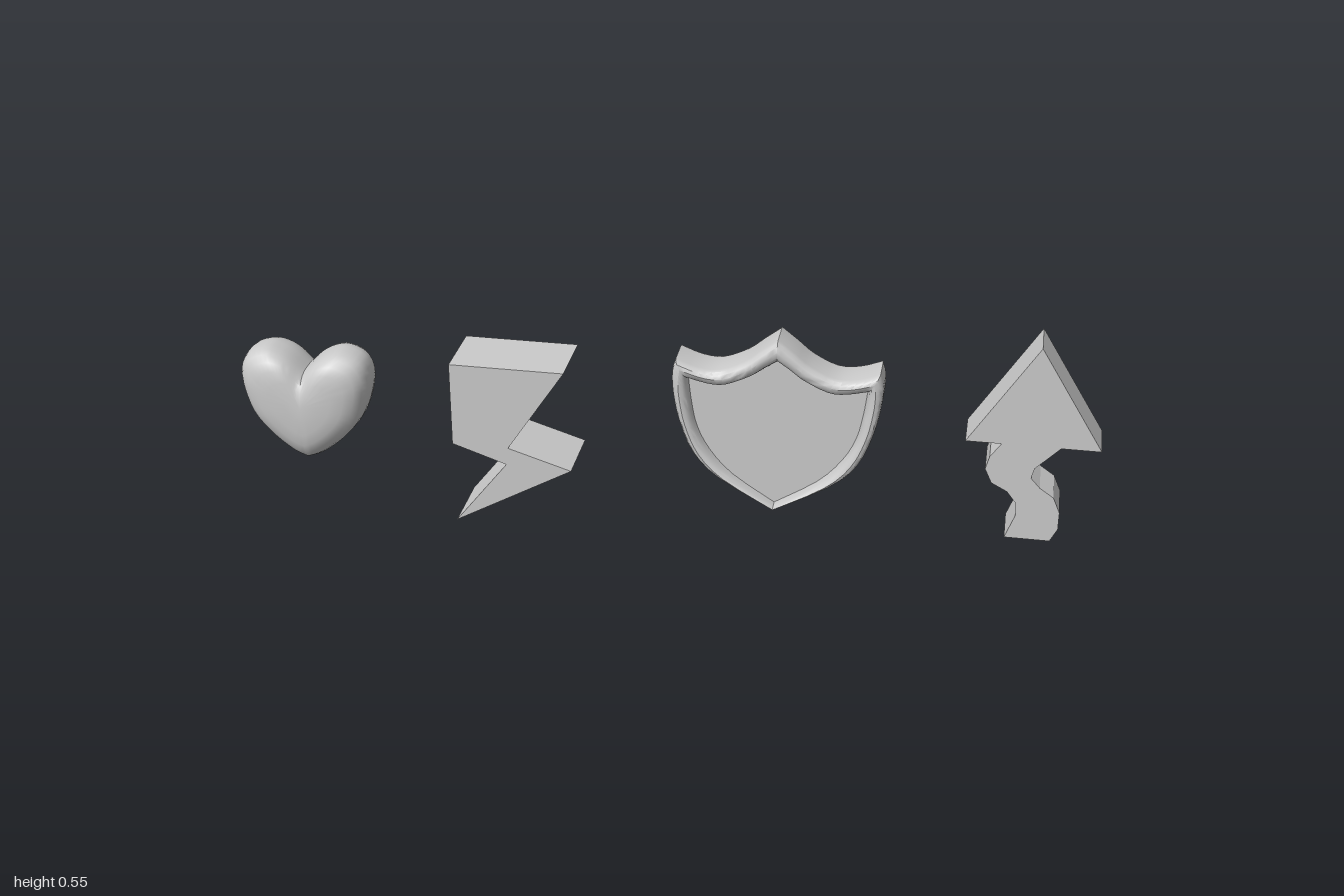
import * as THREE from 'three';
import { toCreasedNormals } from 'three/addons/utils/BufferGeometryUtils.js';

const material = new THREE.MeshStandardMaterial({ color: 0xcccccc });
const points = (list) => list.map(([x, y]) => new THREE.Vector2(x, y));

function addMesh(group, name, geometry) {
  const mesh = new THREE.Mesh(geometry, material);
  mesh.name = name;
  group.add(mesh);
  return mesh;
}

// Flat slab with hard edges
function slab(outline, back, front) {
  return new THREE.ExtrudeGeometry(new THREE.Shape(points(outline)), {
    depth: front - back, bevelEnabled: false,
  }).translate(0, 0, back);
}

// Right half from bottom to top, given as runs of spline points, then mirrored
function mirroredOutline(runs) {
  const half = [];
  runs.forEach(({ pts, steps }, r) => {
    const sampled = new THREE.SplineCurve(points(pts)).getPoints(steps);
    half.push(...(r ? sampled.slice(1) : sampled));
  });
  const left = half.slice(1, -1).reverse().map((p) => new THREE.Vector2(-p.x, p.y));
  return [...half, ...left];
}

// Skin over closed rings running from the back centre to the front centre
function skin(rings, crease) {
  const n = rings[0].length;
  const index = [];
  for (let i = 0; i < rings.length - 1; i++) {
    for (let j = 0; j < n; j++) {
      const k = (j + 1) % n;
      const a = i * n + j, b = i * n + k, c = a + n, d = b + n;
      if (i > 0) index.push(a, b, d);
      if (i < rings.length - 2) index.push(a, d, c);
    }
  }
  const geometry = new THREE.BufferGeometry().setFromPoints(rings.flat());
  geometry.setIndex(index);
  return toCreasedNormals(geometry, crease);
}

function heartGeometry() {
  const outline = mirroredOutline([{
    steps: 32,
    pts: [[0, 0.09], [0.035, 0.105], [0.085, 0.145], [0.13, 0.2], [0.152, 0.265], [0.155, 0.315],
      [0.137, 0.352], [0.095, 0.369], [0.06, 0.362], [0.03, 0.345], [0, 0.317]],
  }]);
  const cy = 0.24;
  // [scale, distance from the middle plane]
  const side = [[0, 0.08], [0.25, 0.0795], [0.48, 0.078], [0.68, 0.073], [0.83, 0.064],
    [0.93, 0.051], [0.985, 0.033], [1, 0.012]];
  const profile = [...side.map(([s, z]) => [s, -z]), ...[...side].reverse()];
  const rings = profile.map(([s, z]) => outline.map((p) => {
    const x = p.x * s, y = cy + (p.y - cy) * s;
    // shallow groove between the lobes
    const groove = 0.16 * Math.exp(-((x / 0.03) ** 2)) * THREE.MathUtils.smoothstep(y, 0.24, 0.32);
    return new THREE.Vector3(x, y, z * (1 - groove));
  }));
  return skin(rings, 0.9);
}

function shieldGeometry() {
  const shape = (side, top) => mirroredOutline([{ pts: side, steps: 18 }, { pts: top, steps: 15 }]);
  const outer = shape(
    [[0, 0.078], [0.13, 0.15], [0.19, 0.21], [0.222, 0.29], [0.236, 0.36], [0.238, 0.41], [0.23, 0.44]],
    [[0.23, 0.44], [0.18, 0.422], [0.13, 0.42], [0.075, 0.445], [0.038, 0.475], [0, 0.505]]);
  const inner = shape(
    [[0, 0.085], [0.1, 0.15], [0.155, 0.21], [0.185, 0.27], [0.198, 0.33], [0.203, 0.37], [0.205, 0.395]],
    [[0.205, 0.395], [0.155, 0.384], [0.115, 0.385], [0.06, 0.41], [0.03, 0.432], [0, 0.452]]);
  // [blend from outer to inner outline, z]: back, rounded edge, rim, recess
  const profile = [[0.36, -0.042], [0.18, -0.04], [0.05, -0.034], [0, -0.024], [0, 0.04],
    [0.05, 0.05], [0.2, 0.057], [0.45, 0.06], [0.72, 0.057], [0.9, 0.05], [1, 0.04], [1.08, 0.03]];
  const rings = profile.map(([t, z]) => outer.map((p, i) => {
    const q = p.clone().lerp(inner[i], t);
    return new THREE.Vector3(q.x, q.y, z);
  }));
  const centre = (z) => outer.map(() => new THREE.Vector3(0, 0.29, z));
  return skin([centre(-0.042), ...rings, centre(0.03)], 0.6);
}

export function createModel() {
  const group = new THREE.Group();
  group.name = 'powerUpIcons';

  addMesh(group, 'heart', heartGeometry()).position.set(-0.845, 0, -0.015);

  addMesh(group, 'lightningBolt', slab([
    [-0.467, 0.406], [-0.467, 0.203], [-0.34, 0.16], [-0.465, 0],
    [-0.187, 0.157], [-0.335, 0.203], [-0.2, 0.406],
  ], -0.058, 0.098));

  addMesh(group, 'shield', shieldGeometry()).position.x = 0.277;

  // Arrow head on a winding tail
  addMesh(group, 'windingArrow', slab([
    [0.853, 0.55], [0.703, 0.312], [0.783, 0.312], [0.759, 0.278], [0.751, 0.246], [0.767, 0.212],
    [0.803, 0.193], [0.824, 0.166], [0.826, 0.134], [0.805, 0.076], [0.906, 0.076], [0.922, 0.108],
    [0.922, 0.15], [0.906, 0.187], [0.874, 0.209], [0.853, 0.232], [0.859, 0.257], [0.89, 0.289],
    [0.912, 0.312], [1, 0.312],
  ], -0.028, 0.078));

  return group;
}
